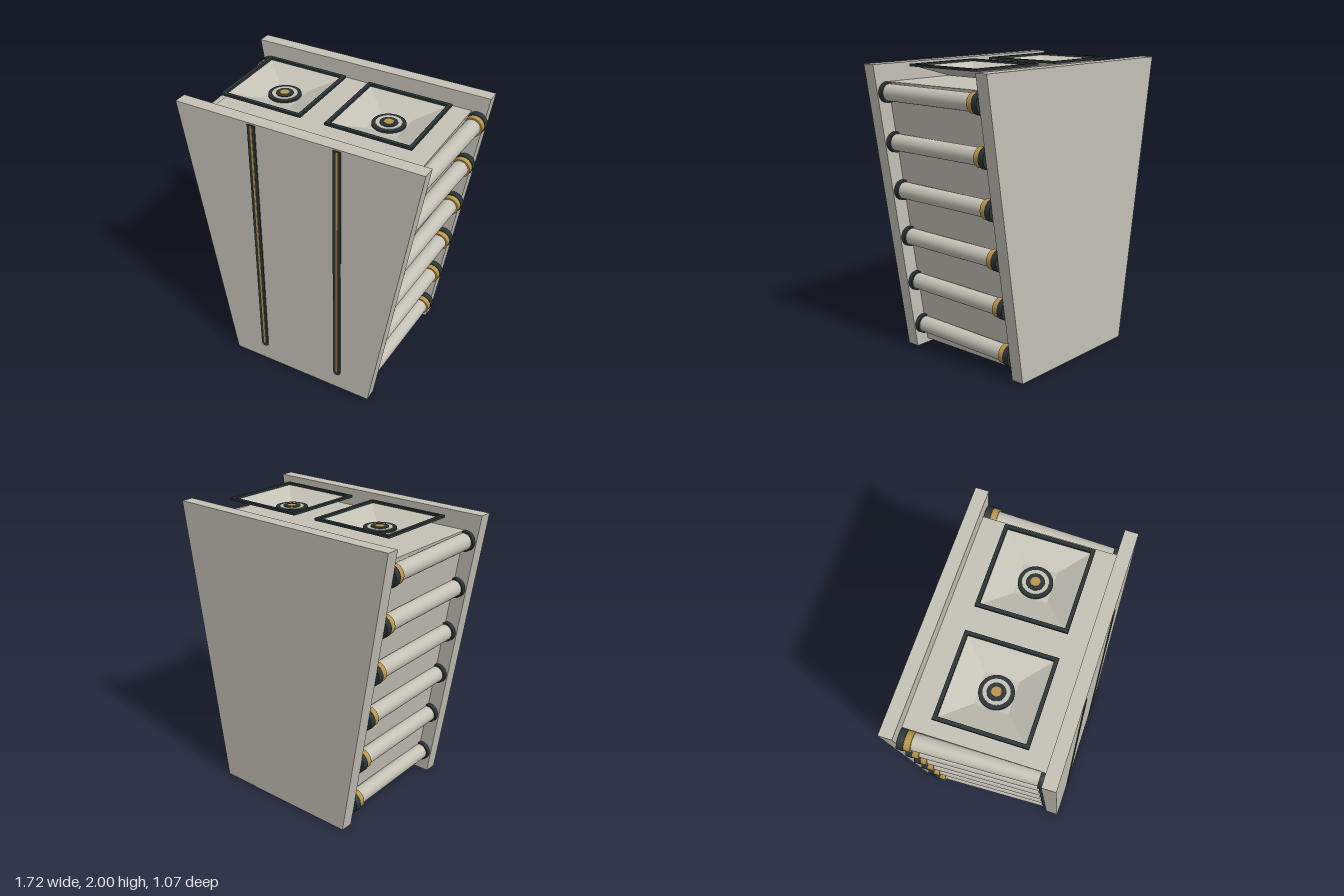
import * as THREE from 'three';

export function createModel() {
  const model = new THREE.Group();
  const mat = (name, color, side = THREE.FrontSide) => {
    const m = new THREE.MeshStandardMaterial({ color, side });
    m.name = name;
    return m;
  };
  const shell = mat('warm grey shell', 0xc4c1b6, THREE.DoubleSide);
  const dark = mat('dark slate', 0x2a3435);
  const gold = mat('gold', 0xb8954a);
  const black = mat('black', 0x14191a);

  const add = (name, geo, material, x = 0, y = 0, z = 0, parent = model) => {
    const mesh = new THREE.Mesh(geo, material);
    mesh.name = name;
    mesh.position.set(x, y, z);
    parent.add(mesh);
    return mesh;
  };
  const group = (name) => {
    const g = new THREE.Group();
    g.name = name;
    model.add(g);
    return g;
  };

  // Half width of the tapered outline at a height
  const edge = (y) => 0.54 + 0.16 * y;

  // Trapezoid slab between two heights and two depths
  const slab = (y0, y1, z0, z1, inset) => {
    const a = edge(y0) - inset, b = edge(y1) - inset;
    const s = new THREE.Shape([[-a, y0], [a, y0], [b, y1], [-b, y1]].map((p) => new THREE.Vector2(...p)));
    return new THREE.ExtrudeGeometry(s, { depth: z1 - z0, bevelEnabled: false }).translate(0, 0, z0);
  };
  add('frontPlate', slab(0, 2, 0.44, 0.529, 0), shell);
  add('backPlate', slab(0, 2, -0.537, -0.449, 0), shell);
  add('body', slab(0.03, 1.884, -0.449, 0.44, 0.102), shell);

  // Long front strips with a rounded lower end
  const strip = (w, y0, y1, depth) => {
    const r = w / 2;
    const s = new THREE.Shape();
    s.moveTo(r, y1);
    s.lineTo(-r, y1);
    s.lineTo(-r, y0 + r);
    s.absarc(0, y0 + r, r, Math.PI, 2 * Math.PI, false);
    s.lineTo(r, y1);
    return new THREE.ExtrudeGeometry(s, { depth, bevelEnabled: false, curveSegments: 10 });
  };
  for (const x of [-0.297, 0.297]) {
    add('frontStrip', strip(0.055, 0.125, 1.99, 0.006), dark, x, 0, 0.529);
    add('frontStripInlay', strip(0.013, 0.155, 1.985, 0.008), gold, x, 0, 0.529);
  }

  // Side tubes with end caps and a gold collar, slightly splayed to the back
  const rod = (r, len) => new THREE.CylinderGeometry(r, r, len, 32).rotateX(Math.PI / 2);
  for (const side of [-1, 1]) {
    for (let i = 0; i < 6; i++) {
      const y = 0.16 + i * 0.3315;
      const xb = side * (edge(y) - 0.046), xf = side * (edge(y) - 0.076);
      const g = group('sideTube');
      const tube = add('tube', rod(0.056, 0.87), shell, (xb + xf) / 2, y, -0.005, g);
      tube.rotation.y = Math.atan2(xf - xb, 0.86);
      add('frontCap', rod(0.068, 0.031), dark, xf, y, 0.4245, g);
      add('backCap', rod(0.071, 0.043), dark, xb, y, -0.4275, g);
      add('collar', rod(0.066, 0.042), gold, xb, y, -0.386, g);
    }
  }

  // Four-sided open funnel with a floor
  const funnelGeo = (top, bottom, h) => {
    const g = new THREE.CylinderGeometry(top * Math.SQRT2, bottom * Math.SQRT2, h, 4, 1, true)
      .rotateY(Math.PI / 4).toNonIndexed();
    g.computeVertexNormals();
    return g;
  };
  const square = (path, r) => {
    path.moveTo(-r, -r);
    path.lineTo(r, -r);
    path.lineTo(r, r);
    path.lineTo(-r, r);
    path.closePath();
    return path;
  };
  const rim = square(new THREE.Shape(), 0.293);
  rim.holes.push(square(new THREE.Path(), 0.268));
  const rimGeo = new THREE.ExtrudeGeometry(rim, { depth: 0.016, bevelEnabled: false }).rotateX(-Math.PI / 2);

  // Horn pans on top, each with a concentric driver
  for (const x of [-0.377, 0.377]) {
    const g = group('hornPan');
    g.position.set(x, 0, 0.015);
    add('panRim', rimGeo, dark, 0, 1.984, 0, g);
    add('panWalls', funnelGeo(0.27, 0.108, 0.064), shell, 0, 1.954, 0, g);
    add('panFloor', new THREE.PlaneGeometry(0.216, 0.216).rotateX(-Math.PI / 2), shell, 0, 1.922, 0, g);
    [[0.108, dark], [0.083, shell], [0.058, dark], [0.031, gold]].forEach(([r, m], i) => {
      const h = 0.012 + i * 0.003;
      add('driverRing', new THREE.CylinderGeometry(r, r, h, 40), m, 0, 1.922 + h / 2, 0, g);
    });
  }

  // Underside panel with a dark recess
  const box = (w, h, d) => new THREE.BoxGeometry(w, h, d);
  add('socketFrame', box(0.32, 0.022, 0.21), shell, 0, 0.019, 0.228);
  add('socketRecess', box(0.26, 0.004, 0.15), black, 0, 0.007, 0.228);

  // Row of jacks under the back edge
  for (let i = -2; i <= 2; i++) {
    const g = group('jack');
    g.position.set(i * 0.17, 0, -0.362);
    add('jackBase', new THREE.CylinderGeometry(0.046, 0.036, 0.016, 24), dark, 0, 0.022, 0, g);
    add('jackRing', new THREE.CylinderGeometry(0.026, 0.026, 0.003, 24), shell, 0, 0.0125, 0, g);
    add('jackHole', new THREE.CylinderGeometry(0.018, 0.018, 0.004, 24), black, 0, 0.011, 0, g);
  }
  return model;
}
